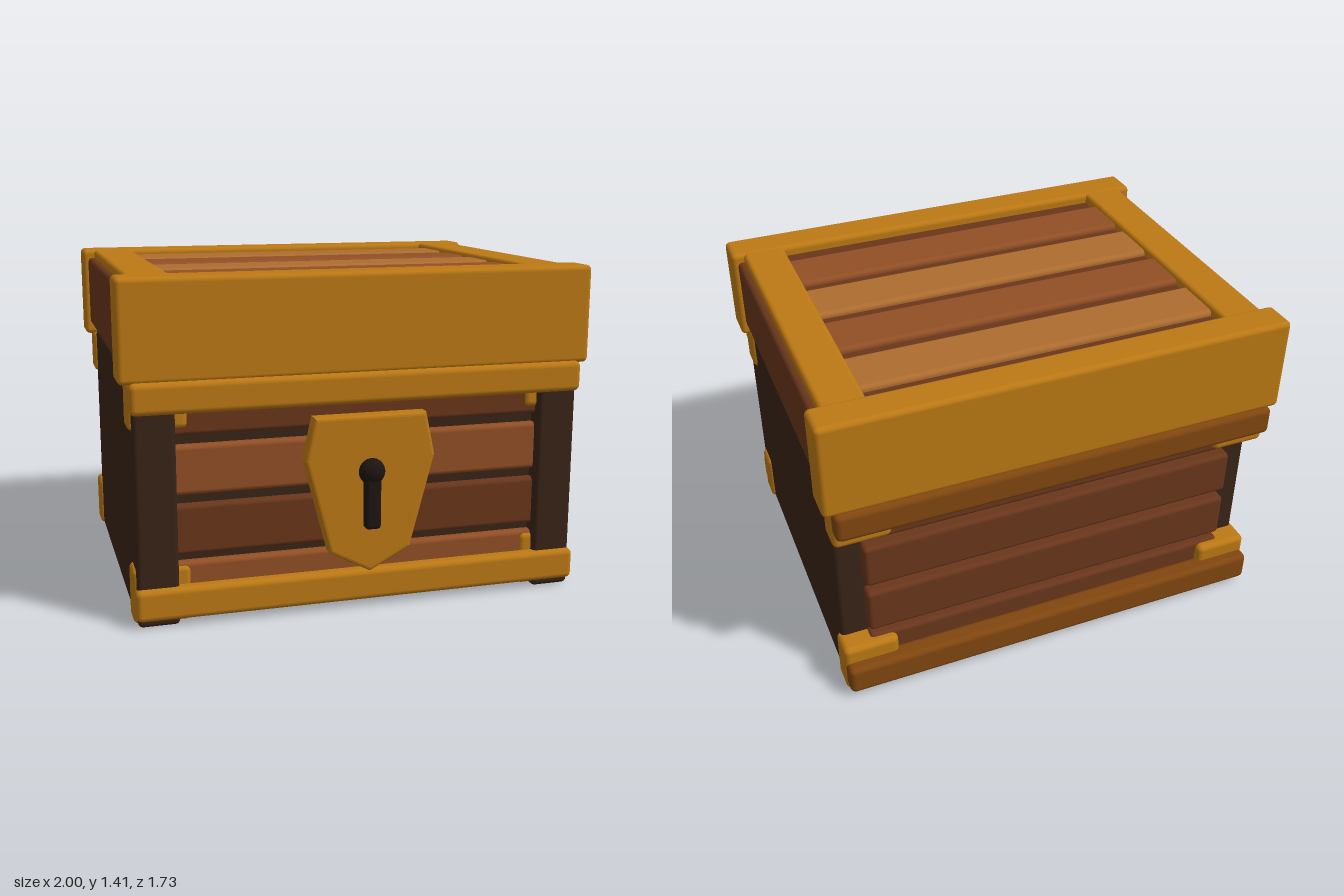
import * as THREE from 'three';
import { RoundedBoxGeometry } from 'three/addons/geometries/RoundedBoxGeometry.js';

const paint = (color) => new THREE.MeshStandardMaterial({ color });

export function createModel() {
  const chest = new THREE.Group();
  chest.name = 'chest';

  const gold = paint(0xbc7914);
  const bronze = paint(0x80460f);
  const dark = paint(0x382317);
  const brown = paint(0x69361b);
  const wood = paint(0x924f25);
  const paleWood = paint(0xae6d2f);
  const black = paint(0x1c1512);

  const add = (name, geometry, material, parent) => {
    const mesh = new THREE.Mesh(geometry, material);
    mesh.name = name;
    parent.add(mesh);
    return mesh;
  };
  // Rounded box given by its extents on each axis
  const block = (parent, name, material, [x0, x1], [y0, y1], [z0, z1], radius = 0.02) => {
    const size = [x1 - x0, y1 - y0, z1 - z0];
    const r = Math.min(radius, Math.min(...size) * 0.45);
    const mesh = add(name, new RoundedBoxGeometry(...size, 3, r), material, parent);
    mesh.position.set((x0 + x1) / 2, (y0 + y1) / 2, (z0 + z1) / 2);
    return mesh;
  };
  const side = (s, a, b) => (s > 0 ? [a, b] : [-b, -a]);
  const section = (name) => {
    const group = new THREE.Group();
    group.name = name;
    chest.add(group);
    return group;
  };

  // Base: dark carcass with front posts
  const base = section('base');
  block(base, 'carcass', dark, [-0.95, 0.95], [0, 1.01], [-0.715, 0.66]);
  for (const s of [1, -1]) {
    block(base, 'frontPost', dark, side(s, 0.78, 0.95), [0, 1.01], [0.57, 0.735]);
  }

  // Planks on the front and back walls
  const rows = [[0.05, 0.25], [0.28, 0.49], [0.53, 0.735], [0.775, 0.97]];
  rows.forEach((y, i) => {
    block(base, 'frontPlank', i % 2 ? brown : wood, [-0.8, 0.8], y, [0.62, 0.695]);
    block(base, 'backPlank', brown, [-0.84, 0.84], y, [-0.775, -0.69]);
  });

  // Horizontal rails and the metal corner caps behind them
  for (const y of [[0.03, 0.165], [0.875, 1.005]]) {
    block(base, 'frontRail', gold, [-0.96, 0.96], y, [0.69, 0.76], 0.025);
    block(base, 'backRail', bronze, [-0.96, 0.96], y, [-0.86, -0.77], 0.025);
  }
  for (const s of [1, -1]) {
    for (const y of [[0.005, 0.24], [0.805, 1.005]]) {
      block(base, 'frontCornerCap', gold, side(s, 0.725, 0.965), y, [0.575, 0.705], 0.025);
      block(base, 'backCornerCap', gold, side(s, 0.725, 0.965), y, [-0.81, -0.675], 0.025);
    }
  }

  // Lid: frame, side panels and top planks
  const lid = section('lid');
  block(lid, 'lidCore', brown, [-0.85, 0.85], [1.0, 1.365], [-0.75, 0.65]);
  block(lid, 'frontBand', gold, [-1, 1], [0.995, 1.41], [0.58, 0.74], 0.022);
  block(lid, 'backBand', gold, [-1, 1], [0.995, 1.41], [-0.84, -0.685], 0.022);
  for (const s of [1, -1]) {
    block(lid, 'sideRail', gold, side(s, 0.76, 0.945), [1.0, 1.407], [-0.72, 0.62]);
    block(lid, 'sidePanel', brown, side(s, 0.85, 0.975), [1.045, 1.37], [-0.72, 0.62]);
  }
  for (let i = 0; i < 4; i++) {
    const z = -0.61 + i * 0.29;
    block(lid, 'topPlank', i % 2 ? wood : paleWood, [-0.8, 0.8], [1.32, 1.39], [z, z + 0.23]);
  }

  // Lock: bevelled plate with a raised keyhole
  const lock = section('lock');
  const outline = [[-0.225, 0.825], [0.225, 0.825], [0.26, 0.66], [0.16, 0.28],
    [0, 0.195], [-0.16, 0.28], [-0.26, 0.66]];
  const plate = new THREE.ExtrudeGeometry(
    new THREE.Shape(outline.map(([x, y]) => new THREE.Vector2(x, y))),
    { depth: 0.045, bevelThickness: 0.015, bevelSize: 0.015, bevelSegments: 3 },
  );
  add('lockPlate', plate, gold, lock).position.z = 0.755;
  const knob = add('keyholeTop', new THREE.SphereGeometry(0.055, 24, 16), black, lock);
  knob.position.set(0, 0.608, 0.82);
  knob.scale.z = 0.85;
  block(lock, 'keyholeSlot', black, [-0.033, 0.033], [0.37, 0.6], [0.79, 0.855], 0.015);

  return chest;
}
